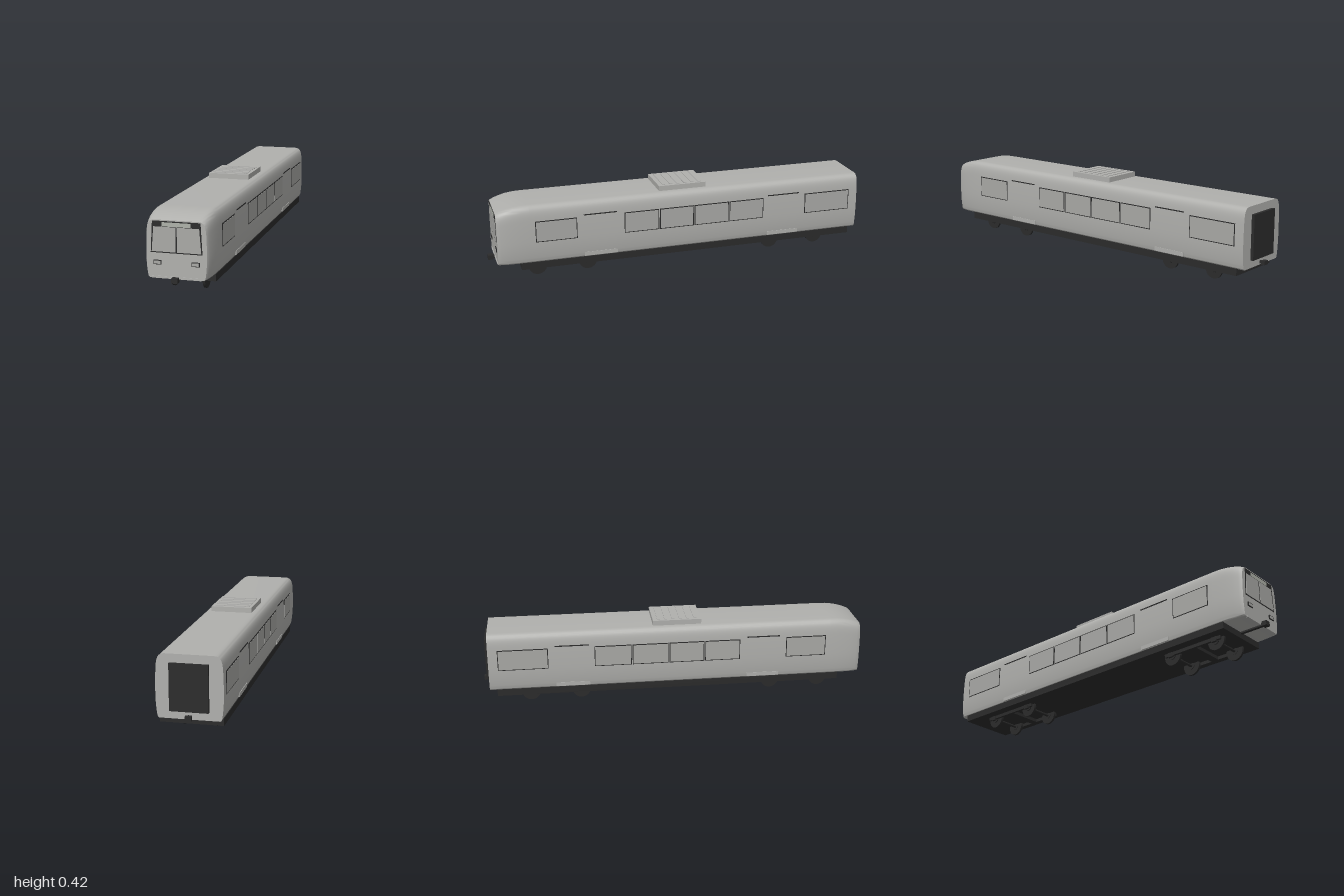
import * as THREE from 'three';
import { toCreasedNormals } from 'three/addons/utils/BufferGeometryUtils.js';

const material = (name, color) => {
  const m = new THREE.MeshStandardMaterial({ color });
  m.name = name;
  return m;
};

export function createModel() {
  const grey = material('body grey', 0xb0b0ad);
  const glass = material('window grey', 0xa9a9a6);
  const pale = material('pale sign', 0xaeb2a9);
  const dark = material('dark trim', 0x2b2b2b);

  const train = new THREE.Group();
  train.name = 'railcar';

  const add = (name, geometry, mat, x = 0, y = 0, z = 0) => {
    const mesh = new THREE.Mesh(geometry, mat);
    mesh.name = name;
    mesh.position.set(x, y, z);
    train.add(mesh);
    return mesh;
  };
  // Box given by its lower and upper limits on each axis
  const box = (name, mat, [x0, x1], [y0, y1], [z0, z1]) =>
    add(name, new THREE.BoxGeometry(x1 - x0, y1 - y0, z1 - z0), mat,
      (x0 + x1) / 2, (y0 + y1) / 2, (z0 + z1) / 2);

  // Body: rounded section lofted along z, with a tapering nose
  const floorY = 0.092, roofY = 0.39;
  const section = new THREE.Shape();
  section.moveTo(-0.138, floorY);
  section.lineTo(0.138, floorY);
  section.quadraticCurveTo(0.147, floorY, 0.149, 0.11);
  section.quadraticCurveTo(0.156, 0.155, 0.156, 0.21);
  section.quadraticCurveTo(0.156, 0.27, 0.153, 0.325);
  section.bezierCurveTo(0.15, 0.37, 0.142, roofY, 0.11, roofY);
  section.lineTo(-0.11, roofY);
  section.bezierCurveTo(-0.142, roofY, -0.15, 0.37, -0.153, 0.325);
  section.quadraticCurveTo(-0.156, 0.27, -0.156, 0.21);
  section.quadraticCurveTo(-0.156, 0.155, -0.149, 0.11);
  section.quadraticCurveTo(-0.147, floorY, -0.138, floorY);
  const outline = section.getPoints(10);
  if (outline[0].distanceTo(outline[outline.length - 1]) < 1e-6) outline.pop();

  // Each station: z, width scale, roof height
  const stations = [
    [-0.968, 1, 0.39], [0.8, 1, 0.39], [0.84, 0.997, 0.389], [0.88, 0.985, 0.384],
    [0.915, 0.967, 0.376], [0.945, 0.94, 0.366], [0.958, 0.92, 0.36], [0.964, 0.9, 0.357],
  ];
  const positions = [], index = [], n = outline.length;
  for (const [z, sx, top] of stations) {
    const sy = (top - floorY) / (roofY - floorY);
    for (const p of outline) positions.push(p.x * sx, floorY + (p.y - floorY) * sy, z);
  }
  for (let i = 0; i < stations.length - 1; i++) {
    for (let j = 0; j < n; j++) {
      const a = i * n + j, b = i * n + (j + 1) % n;
      index.push(a, b, b + n, a, b + n, a + n);
    }
  }
  const rearCentre = positions.length / 3, last = (stations.length - 1) * n;
  positions.push(0, 0.23, stations[0][0], 0, 0.23, stations[stations.length - 1][0]);
  for (let j = 0; j < n; j++) {
    const k = (j + 1) % n;
    index.push(rearCentre, k, j, rearCentre + 1, last + j, last + k);
  }
  const body = new THREE.BufferGeometry();
  body.setAttribute('position', new THREE.Float32BufferAttribute(positions, 3));
  body.setIndex(index);
  add('body', toCreasedNormals(body, 0.6), grey);

  // Side windows, door lines and door steps
  const windows = [[0.565, 0.775], [0.14, 0.322], [-0.046, 0.135], [-0.236, -0.051],
    [-0.43, -0.241], [-0.92, -0.665]];
  const doors = [[0.36, 0.53], [-0.63, -0.457]];
  const b = 0.004;
  for (const s of [1, -1]) {
    const side = (x0, x1) => (s > 0 ? [x0, x1] : [-x1, -x0]);
    for (const [z0, z1] of windows) {
      box('sideWindowFrame', dark, side(0.151, 0.157), [0.203, 0.312], [z0, z1]);
      box('sideWindowGlass', glass, side(0.152, 0.158), [0.203 + b, 0.312 - b], [z0 + b, z1 - b]);
    }
    for (const [z0, z1] of doors) {
      box('doorTopLine', dark, side(0.15, 0.156), [0.319, 0.324], [z0, z1]);
      box('doorStep', grey, side(0.144, 0.153), [0.1, 0.12], [z0, z1]);
    }
  }

  // Windscreen: thin stacked plates on the flat nose
  const plate = (name, mat, corners, z) => {
    const shape = new THREE.Shape(corners.map(([x, y]) => new THREE.Vector2(x, y)));
    add(name, new THREE.ExtrudeGeometry(shape, { depth: 0.002, bevelEnabled: false }), mat, 0, 0, z);
  };
  plate('windscreenFrame', dark, [[-0.12, 0.208], [0.12, 0.208], [0.112, 0.352], [-0.112, 0.352]], 0.9635);
  plate('windscreenLeft', glass, [[0.003, 0.213], [0.115, 0.213], [0.106, 0.326], [0.003, 0.326]], 0.9645);
  plate('windscreenRight', glass, [[-0.115, 0.213], [-0.003, 0.213], [-0.003, 0.326], [-0.106, 0.326]], 0.9645);
  box('destinationSign', pale, [-0.067, 0.067], [0.328, 0.347], [0.9635, 0.9665]);

  // Headlights
  for (const s of [1, -1]) {
    const x = 0.0885 * s;
    box('headlightFrame', dark, [x - 0.0185, x + 0.0185], [0.154, 0.174], [0.962, 0.969]);
    box('headlight', glass, [x - 0.0155, x + 0.0155], [0.157, 0.171], [0.963, 0.97]);
  }
  box('frontSkirt', grey, [-0.115, 0.115], [0.091, 0.101], [0.955, 0.967]);

  // Rear gangway and couplers
  box('rearGangway', dark, [-0.09, 0.09], [0.13, 0.35], [-0.983, -0.96]);
  box('frontCoupler', dark, [-0.015, 0.015], [0.08, 0.103], [0.975, 1]);
  box('frontCouplerBar', dark, [-0.008, 0.008], [0.084, 0.099], [0.84, 0.98]);
  box('rearCoupler', dark, [-0.015, 0.015], [0.095, 0.115], [-1, -0.98]);
  box('rearCouplerBar', dark, [-0.008, 0.008], [0.098, 0.112], [-0.985, -0.93]);

  // Roof unit with slats
  box('roofUnit', grey, [-0.105, 0.105], [0.38, 0.416], [-0.125, 0.125]);
  for (let i = 0; i < 6; i++) {
    const z = -0.095 + i * 0.038;
    box('roofSlat', grey, [-0.09, 0.09], [0.414, 0.419], [z - 0.007, z + 0.007]);
  }

  // Underframe
  box('underframe', dark, [-0.148, 0.148], [0.06, 0.095], [-0.93, 0.85]);

  // Two bogies, each with two axles
  const wheel = new THREE.CylinderGeometry(0.047, 0.047, 0.012, 24).rotateZ(Math.PI / 2);
  const hub = new THREE.CylinderGeometry(0.018, 0.018, 0.02, 16).rotateZ(Math.PI / 2);
  const axle = new THREE.CylinderGeometry(0.007, 0.007, 0.18, 12).rotateZ(Math.PI / 2);
  for (const bz of [0.63, -0.63]) {
    for (const s of [1, -1]) {
      const x = 0.094 * s;
      box('bogieSideFrame', dark, [x - 0.006, x + 0.006], [0.043, 0.062], [bz - 0.165, bz + 0.165]);
    }
    box('bogieBolster', dark, [-0.09, 0.09], [0.043, 0.062], [bz - 0.02, bz + 0.02]);
    for (const dz of [0.13, -0.13]) {
      const z = bz + dz;
      add('axle', axle, dark, 0, 0.047, z);
      for (const s of [1, -1]) {
        add('wheel', wheel, dark, 0.076 * s, 0.047, z);
        add('wheelHub', hub, dark, 0.077 * s, 0.047, z);
        const x = 0.097 * s;
        box('axleBox', dark, [x - 0.006, x + 0.006], [0.037, 0.06], [z - 0.014, z + 0.014]);
      }
    }
  }
  return train;
}
